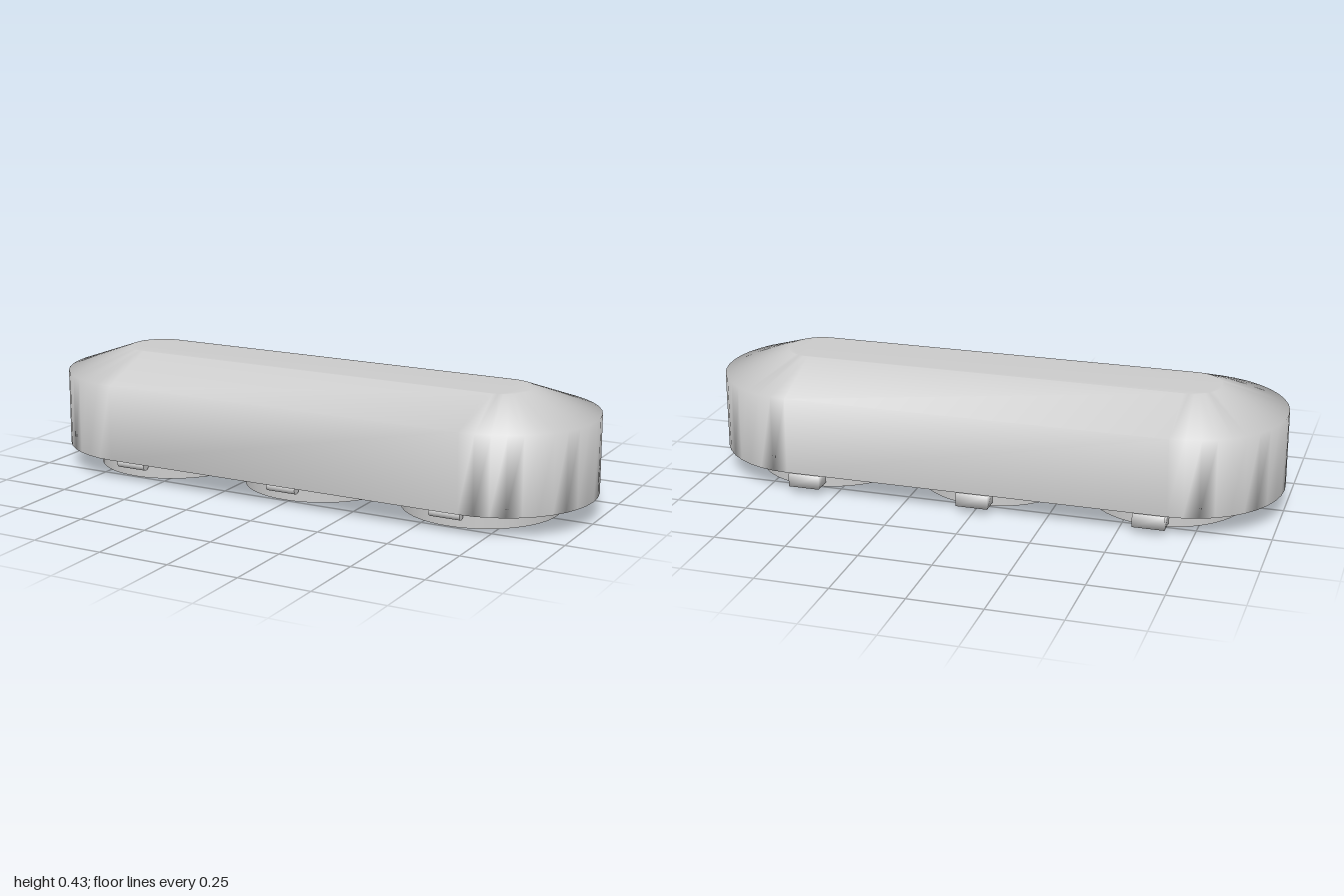
import * as THREE from 'three';
import { mergeGeometries, mergeVertices } from 'three/addons/utils/BufferGeometryUtils.js';

const material = new THREE.MeshStandardMaterial({ color: 0xcccccc });
const END_X = 0.665;      // centre of each rounded end
const CUPS = [-0.605, 0, 0.605];
const CUP_INNER = 0.255;
const CUP_OUTER = 0.272;

function addMesh(parent, name, geometry, x = 0, y = 0, z = 0) {
  const mesh = new THREE.Mesh(geometry, material);
  mesh.name = name;
  mesh.position.set(x, y, z);
  parent.add(mesh);
  return mesh;
}

// Pill-shaped outline, counter-clockwise
function outline(radius, steps = 20) {
  const points = [];
  for (const side of [1, -1]) {
    for (let i = 0; i <= steps; i++) {
      const a = -Math.PI / 2 + (i / steps) * Math.PI;
      points.push(new THREE.Vector2(side * (END_X + radius * Math.cos(a)), side * radius * Math.sin(a)));
    }
  }
  return points;
}

function bare(geometry) {
  geometry.deleteAttribute('normal');
  geometry.deleteAttribute('uv');
  return geometry;
}

// Straight wall, sloped shoulder, flat top and a base pierced by three wells
function bodyGeometry() {
  const levels = [[0.335, 0.075], [0.335, 0.345], [0.112, 0.425]];
  const rings = levels.map(([r]) => outline(r));
  const n = rings[0].length;
  const positions = [];
  const index = [];
  rings.forEach((ring, k) => ring.forEach((p) => positions.push(p.x, levels[k][1], -p.y)));
  for (let k = 0; k < levels.length - 1; k++) {
    for (let i = 0; i < n; i++) {
      const a = k * n + i;
      const b = k * n + ((i + 1) % n);
      index.push(a, b, b + n, a, b + n, a + n);
    }
  }
  const walls = new THREE.BufferGeometry();
  walls.setAttribute('position', new THREE.Float32BufferAttribute(positions, 3));
  walls.setIndex(index);

  const top = new THREE.ShapeGeometry(new THREE.Shape(rings[2]));
  top.rotateX(-Math.PI / 2).translate(0, 0.425, 0);

  const baseShape = new THREE.Shape(rings[0]);
  for (const x of CUPS) {
    baseShape.holes.push(new THREE.Path().absarc(x, 0, CUP_INNER, 0, Math.PI * 2, true));
  }
  const base = new THREE.ShapeGeometry(baseShape, 24);
  base.rotateX(Math.PI / 2).translate(0, 0.075, 0);

  const body = mergeVertices(mergeGeometries([walls, bare(top), bare(base)]), 1e-4);
  body.computeVertexNormals();
  return body;
}

// Surface of revolution between two profile points
function band(r0, y0, r1, y1) {
  return new THREE.LatheGeometry([new THREE.Vector2(r0, y0), new THREE.Vector2(r1, y1)], 48);
}

// Hollow cup: outer wall, lip, deep inner wall and ceiling
function cupGeometry() {
  return mergeGeometries([
    band(CUP_OUTER, 0.01, CUP_OUTER, 0.075),
    band(CUP_INNER, 0.01, CUP_OUTER, 0.01),
    band(CUP_INNER, 0.36, CUP_INNER, 0.01),
    band(0, 0.36, CUP_INNER, 0.36),
  ]);
}

// Block with normals softened across its edges
function softBlock(w, h, d) {
  const block = mergeVertices(bare(new THREE.BoxGeometry(w, h, d)));
  block.computeVertexNormals();
  return block;
}

export function createModel() {
  const model = new THREE.Group();
  model.name = 'tripleCupHousing';
  addMesh(model, 'body', bodyGeometry());

  for (const x of CUPS) {
    const unit = new THREE.Group();
    unit.name = 'cupUnit';
    unit.position.x = x;
    addMesh(unit, 'cup', cupGeometry());
    // Hinge pin at the front
    const pin = new THREE.CylinderGeometry(0.016, 0.016, 0.11, 16).rotateZ(Math.PI / 2);
    addMesh(unit, 'hingePin', pin, 0, 0.058, 0.289);
    // Latch and catch at the back
    addMesh(unit, 'latch', softBlock(0.11, 0.046, 0.066), 0, 0.048, -0.302);
    addMesh(unit, 'catch', new THREE.BoxGeometry(0.042, 0.03, 0.028), 0, 0.015, -0.256);
    model.add(unit);
  }
  return model;
}
